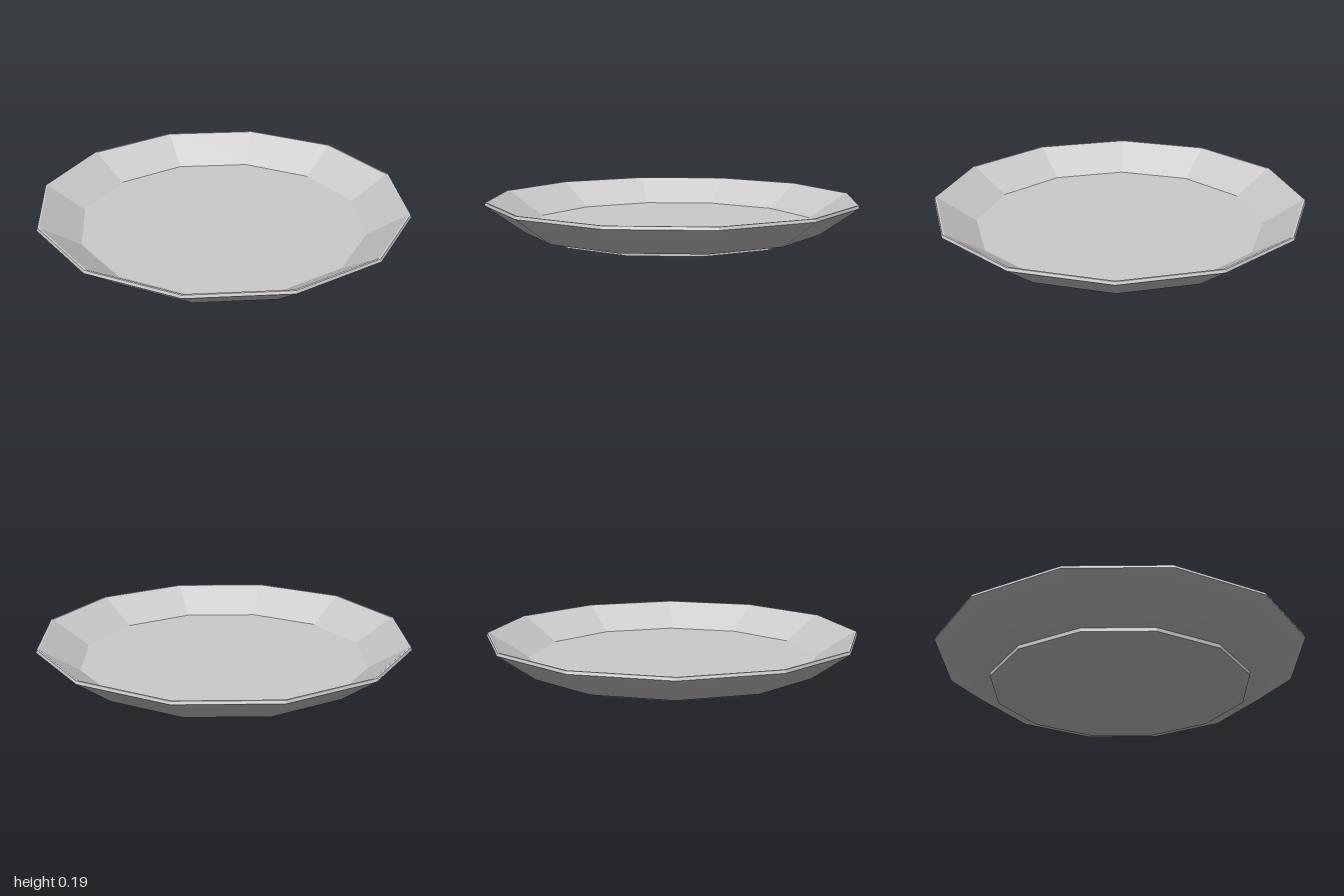
import * as THREE from 'three';

const SIDES = 12;

// Twelve-sided ring from a profile of [radius, height] points
function turned(name, profile, flatShading) {
  const points = profile.map(([r, y]) => new THREE.Vector2(r, y));
  const material = new THREE.MeshStandardMaterial({ color: 0xcccccc, flatShading });
  const mesh = new THREE.Mesh(new THREE.LatheGeometry(points, SIDES), material);
  mesh.name = name;
  return mesh;
}

export function createModel() {
  const plate = new THREE.Group();
  plate.name = 'plate';

  // Shallow foot with a flat bottom
  plate.add(turned('foot', [[0, 0], [0.7, 0], [0.7, 0.02]], true));

  // Smooth flared underside
  plate.add(turned('underside', [[0.7, 0.02], [0.8, 0.03], [1, 0.175]], false));

  // Thin bevelled lip
  plate.add(turned('rim', [[1, 0.175], [0.995, 0.19], [0.985, 0.19]], true));

  // Faceted sloping wall and flat floor
  plate.add(turned('innerWall', [[0.985, 0.19], [0.777, 0.056]], true));
  plate.add(turned('floor', [[0.777, 0.056], [0, 0.056]], true));

  return plate;
}
